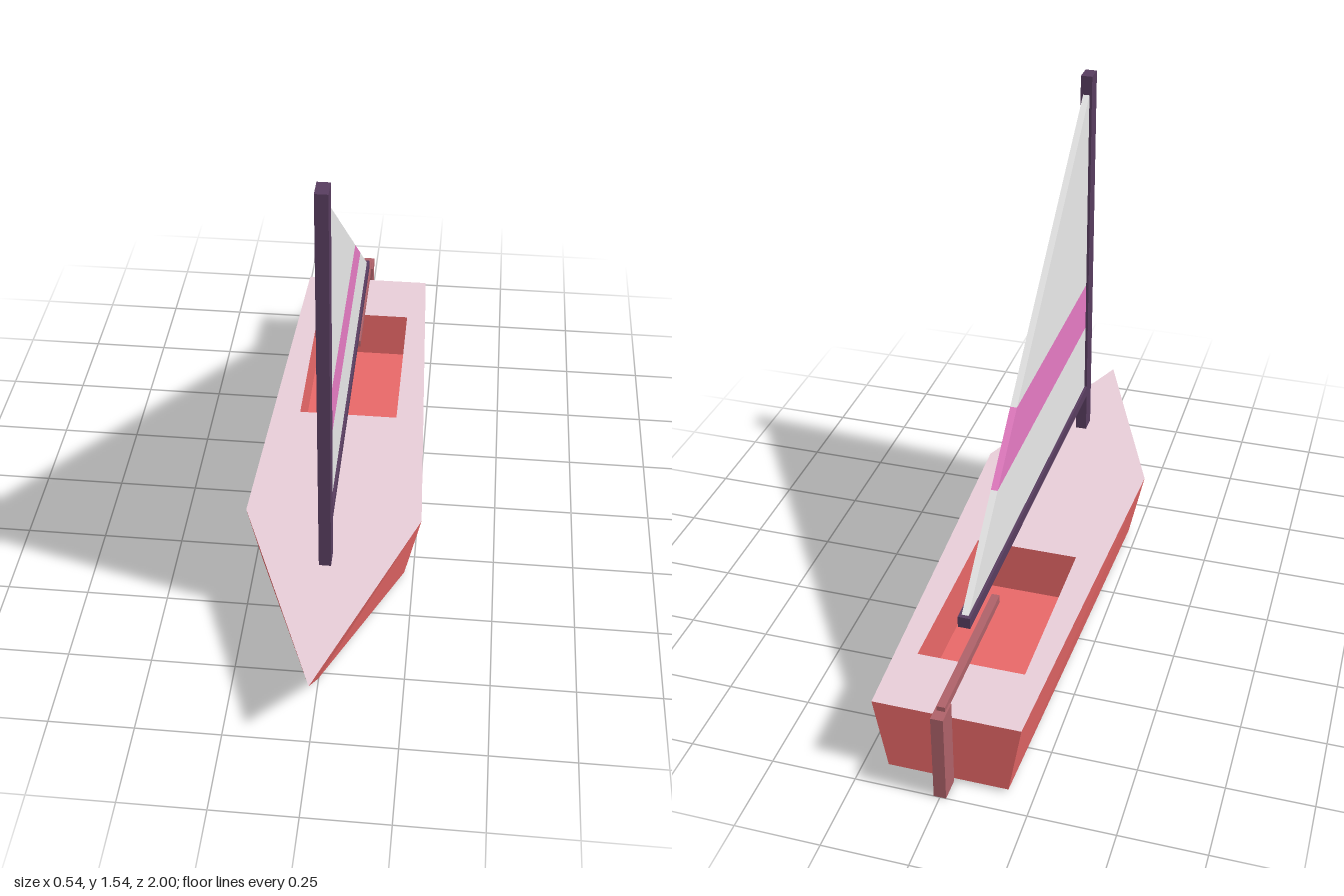
import * as THREE from 'three';

const material = (name, color) => {
  const m = new THREE.MeshStandardMaterial({ color });
  m.name = name;
  return m;
};

// Flat-faced geometry from convex polygons, corners counter-clockwise from outside
function facets(polygons) {
  const pos = [];
  for (const p of polygons) {
    for (let i = 1; i < p.length - 1; i++) pos.push(...p[0], ...p[i], ...p[i + 1]);
  }
  const g = new THREE.BufferGeometry();
  g.setAttribute('position', new THREE.Float32BufferAttribute(pos, 3));
  g.computeVertexNormals();
  return g;
}

// Walls joining two outlines with equal corner counts
const walls = (low, high) => low.map((p, i) => {
  const j = (i + 1) % low.length;
  return [p, low[j], high[j], high[i]];
});

// Pointed hull outline at height y, counter-clockwise from above
const outline = (y, bow, mid, stern) => [
  [0, y, bow], [mid, y, 0.33], [stern, y, -0.93], [-stern, y, -0.93], [-mid, y, 0.33],
];

export function createModel() {
  const boat = new THREE.Group();
  boat.name = 'sailboat';
  const hullRed = material('hull red', 0xf56e6e);
  const deckPink = material('deck pale pink', 0xe8cdd8);
  const sparPurple = material('spar dark purple', 0x583d5f);
  const sailWhite = material('sail white', 0xf5f5f5);
  const stripePink = material('stripe pink', 0xe47ac2);
  const rudderBrown = material('rudder brown', 0xad6168);

  const add = (name, geometry, mat) => {
    const mesh = new THREE.Mesh(geometry, mat);
    mesh.name = name;
    boat.add(mesh);
  };
  // Box centred on x = 0, given by its y and z limits
  const box = (name, mat, w, y0, y1, z0, z1) => {
    const g = new THREE.BoxGeometry(w, y1 - y0, z1 - z0);
    add(name, g.translate(0, (y0 + y1) / 2, (z0 + z1) / 2), mat);
  };

  // Hull
  const deckY = 0.235;
  const rim = outline(deckY, 1, 0.27, 0.215);
  const keel = outline(0.01, 0.78, 0.222, 0.176);
  add('hull', facets([...walls(keel, rim), [...keel].reverse()]), hullRed);

  // Sunken cockpit, walls facing inward
  const well = (y) => [[0.16, y, -0.15], [0.16, y, -0.71], [-0.16, y, -0.71], [-0.16, y, -0.15]];
  const floor = well(0.065), opening = well(deckY);
  add('cockpit', facets([floor, ...walls([...floor].reverse(), [...opening].reverse())]), hullRed);

  // Deck with the cockpit opening
  const flat = (ring) => ring.map(([x, , z]) => new THREE.Vector2(x, -z));
  const deck = new THREE.Shape(flat(rim));
  deck.holes.push(new THREE.Path(flat(opening).reverse()));
  add('deck', new THREE.ShapeGeometry(deck).rotateX(-Math.PI / 2).translate(0, deckY, 0), deckPink);

  // Mast and boom
  box('mast', sparPurple, 0.036, 0.27, 1.545, 0.52, 0.578);
  box('boom', sparPurple, 0.036, 0.405, 0.44, -0.757, 0.52);

  // Triangular sail cut into horizontal bands
  const foot = 0.44, head = 1.485, luff = 0.52, clew = -0.745;
  const leech = (y) => luff + (clew - luff) * (head - y) / (head - foot);
  const band = (name, mat, y0, y1) => {
    const pts = [[-luff, y0], [-leech(y0), y0], [-leech(y1), y1]];
    if (y1 < head) pts.push([-luff, y1]);
    const shape = new THREE.Shape(pts.map(([a, b]) => new THREE.Vector2(a, b)));
    const g = new THREE.ExtrudeGeometry(shape, { depth: 0.02, bevelEnabled: false });
    add(name, g.translate(0, 0, -0.01).rotateY(Math.PI / 2), mat);
  };
  band('lowerSail', sailWhite, foot, 0.67);
  band('sailStripe', stripePink, 0.67, 0.83);
  band('upperSail', sailWhite, 0.83, head);

  // Rudder and tiller
  box('rudder', rudderBrown, 0.036, 0, 0.285, -1, -0.93);
  box('tiller', rudderBrown, 0.024, 0.275, 0.3, -0.965, -0.47);

  return boat;
}
